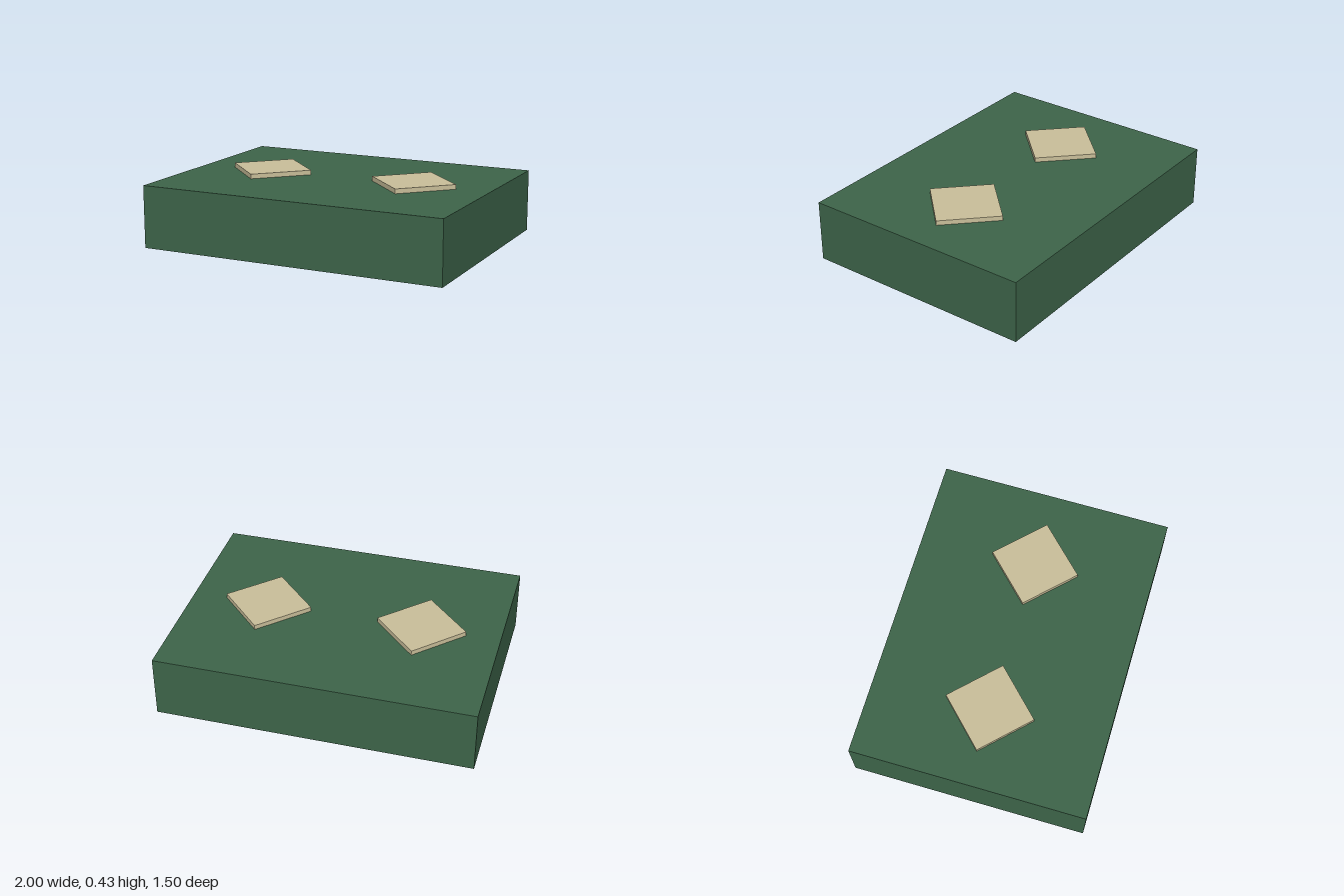
import * as THREE from 'three';

export function createModel() {
  const model = new THREE.Group();
  const green = new THREE.MeshStandardMaterial({ color: 0x3d6449 });
  const tan = new THREE.MeshStandardMaterial({ color: 0xcabf9a });

  // Adds a box whose underside sits at the given height
  const addBox = (name, [w, h, d], [x, bottom, z], material) => {
    const mesh = new THREE.Mesh(new THREE.BoxGeometry(w, h, d), material);
    mesh.name = name;
    mesh.position.set(x, bottom + h / 2, z);
    model.add(mesh);
    return mesh;
  };

  // Main slab
  addBox('base', [2, 0.4, 1.5], [0, 0, 0], green);

  // Two square tiles turned 45 degrees on the top face
  for (const side of [-1, 1]) {
    const tile = addBox(side > 0 ? 'leftTile' : 'rightTile', [0.4, 0.03, 0.4], [side * 0.5, 0.4, 0], tan);
    tile.rotation.y = Math.PI / 4;
  }

  return model;
}
